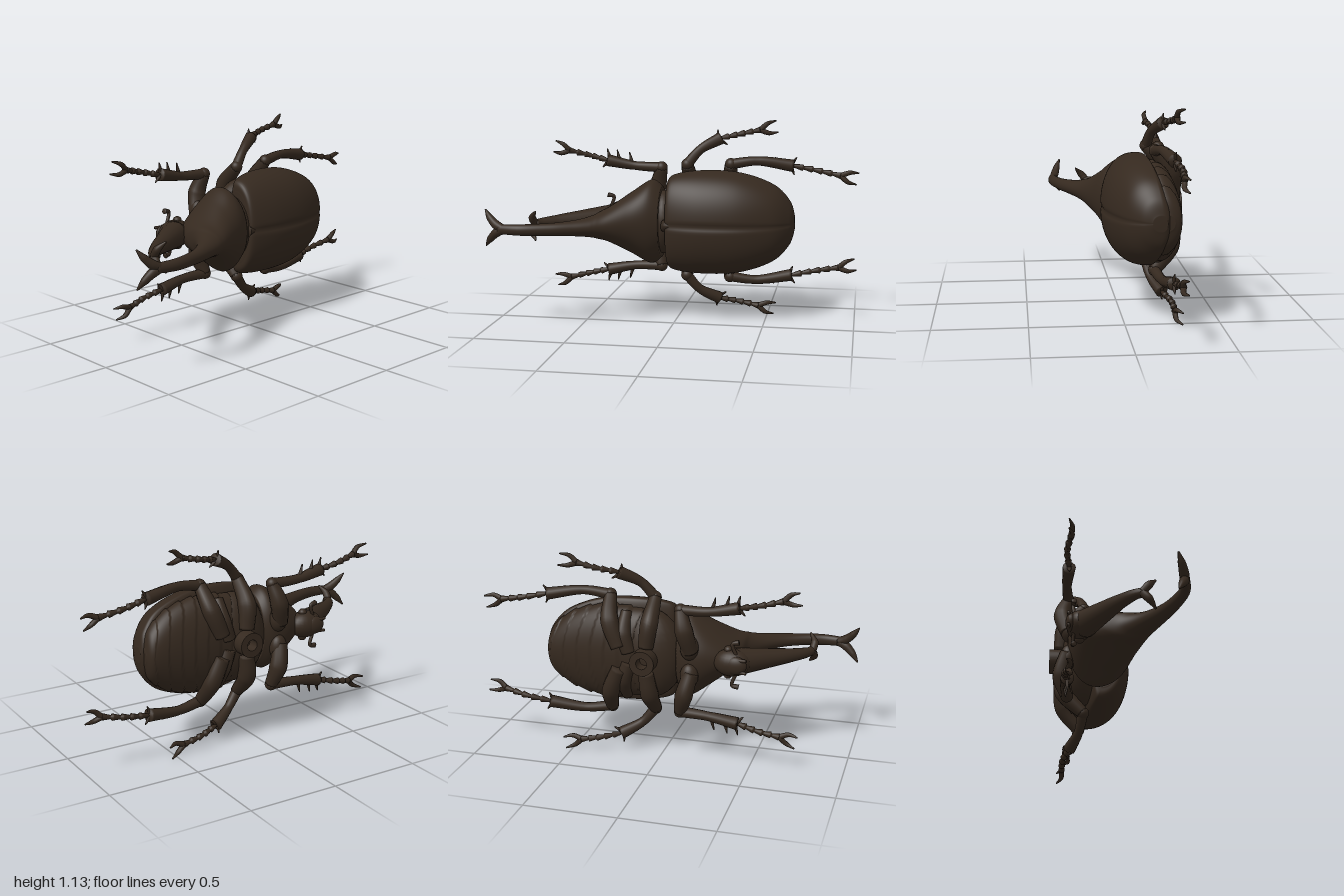
import * as THREE from 'three';

const shell = new THREE.MeshStandardMaterial({ color: 0x35291f, side: THREE.DoubleSide });
const V = (x, y, z) => new THREE.Vector3(x, y, z);

function mesh(name, geometry) {
  const m = new THREE.Mesh(geometry, shell);
  m.name = name;
  return m;
}

// Skin a list of closed rings, closing both ends to their centres
function skin(rings) {
  const close = r => {
    const c = r.reduce((a, p) => a.add(p), V(0, 0, 0)).divideScalar(r.length);
    return r.map(() => c);
  };
  const all = [close(rings[0]), ...rings, close(rings[rings.length - 1])];
  const n = rings[0].length, index = [];
  for (let i = 0; i < all.length - 1; i++) {
    for (let j = 0; j < n; j++) {
      const a = i * n + j, b = i * n + (j + 1) % n;
      index.push(a, b, a + n, b, b + n, a + n);
    }
  }
  const g = new THREE.BufferGeometry().setFromPoints(all.flat());
  g.setIndex(index);
  g.computeVertexNormals();
  return g;
}

// Body along x. Stations: [x, half width, top z, widest z, bottom z]; power below 1 squares the section
function body(name, stations, { steps = 60, sides = 64, power = 1, adjust = () => 0 } = {}) {
  const curves = [1, 2, 3, 4].map(k =>
    new THREE.SplineCurve(stations.map(s => new THREE.Vector2(s[0], s[k]))));
  const bend = v => Math.sign(v) * Math.abs(v) ** power;
  const rings = [];
  for (let i = 0; i <= steps; i++) {
    const [w, top, mid, low] = curves.map(c => c.getPoint(i / steps));
    const ring = [];
    for (let j = 0; j < sides; j++) {
      const a = j / sides * Math.PI * 2, s = bend(Math.sin(a)), k = 1 + adjust(a, w.x);
      const h = s > 0 ? top.y - mid.y : mid.y - low.y;
      ring.push(V(w.x, w.y * bend(Math.cos(a)) * k, mid.y + h * s * k));
    }
    rings.push(ring);
  }
  return mesh(name, skin(rings));
}

// Tapering limb through points; radii is a list or a function of 0..1
function limb(name, points, radii, steps = 24, sides = 12) {
  const curve = new THREE.CatmullRomCurve3(points);
  const { normals, binormals } = curve.computeFrenetFrames(steps);
  const radius = u => {
    if (typeof radii === 'function') return radii(u);
    const f = curve.getUtoTmapping(u) * (radii.length - 1);
    const i = Math.min(Math.floor(f), radii.length - 2);
    return THREE.MathUtils.lerp(radii[i], radii[i + 1], f - i);
  };
  const rings = [];
  for (let i = 0; i <= steps; i++) {
    const p = curve.getPointAt(i / steps), r = radius(i / steps), ring = [];
    for (let j = 0; j < sides; j++) {
      const a = j / sides * Math.PI * 2;
      ring.push(p.clone().addScaledVector(normals[i], r * Math.cos(a)).addScaledVector(binormals[i], r * Math.sin(a)));
    }
    rings.push(ring);
  }
  return mesh(name, skin(rings));
}

function ball(name, x, y, z, sx, sy, sz) {
  const m = mesh(name, new THREE.SphereGeometry(1, 24, 16));
  m.position.set(x, y, z);
  m.scale.set(sx, sy, sz);
  return m;
}

// Mirrored pair of legs: hip, thigh, knee, shin, ankle, toe end; spikes sit along the tibia
function legPair(name, hip, thigh, knee, shin, ankle, toe, spikes) {
  const pair = new THREE.Group();
  pair.name = name + 's';
  const across = d => V(-d.y, d.x, 0).multiplyScalar(Math.sign(d.x)).normalize();
  for (const s of [1, -1]) {
    const g = new THREE.Group();
    g.name = name;
    const part = (n, points, ...rest) => g.add(limb(n, points.map(p => V(p.x, p.y * s, p.z)), ...rest));
    part('femur', [hip, thigh, knee], [0.042, 0.05, 0.034]);
    g.add(ball('kneeJoint', knee.x, knee.y * s, knee.z, 0.034, 0.034, 0.034));
    part('tibia', [knee, shin, ankle], [0.03, 0.025, 0.035]);
    // Five beaded joints, each widening outward
    const sag = ankle.clone().lerp(toe, 0.5).add(V(0, 0, -0.015));
    part('tarsus', [ankle, sag, toe], u => 0.009 + 0.01 * ((u * 4.99) % 1), 40, 10);
    const ahead = toe.clone().sub(ankle).normalize(), side = across(ahead);
    for (const k of [1, -1]) {
      const at = (d, w, z) => toe.clone().addScaledVector(ahead, d).addScaledVector(side, w * k).add(V(0, 0, z));
      part('claw', [toe, at(0.045, 0.027, 0.006), at(0.095, 0.033, -0.012)], [0.016, 0.013, 0.004], 10, 8);
    }
    const run = ankle.clone().sub(shin).normalize(), out = across(run);
    for (const [t, length] of spikes) {
      const base = shin.clone().lerp(ankle, t);
      const tip = base.clone().addScaledVector(run, 0.03).addScaledVector(out, length);
      part('spike', [base, tip], [0.018, 0.003], 5, 8);
    }
    pair.add(g);
  }
  return pair;
}

export function createModel() {
  const beetle = new THREE.Group();
  beetle.name = 'beetle';
  beetle.position.y = 0.565;

  // Wing cases with the seam down the middle
  beetle.add(body('wingCases', [
    [-0.045, 0.2, 0.035, -0.06, -0.09], [-0.02, 0.265, 0.072, -0.085, -0.12], [0.15, 0.292, 0.098, -0.12, -0.165],
    [0.36, 0.28, 0.082, -0.135, -0.18], [0.54, 0.216, 0.02, -0.15, -0.2], [0.63, 0.125, -0.062, -0.165, -0.215],
    [0.658, 0.04, -0.125, -0.17, -0.2],
  ], { sides: 160, power: 0.9, adjust: a => -0.045 * Math.exp(-(((a - Math.PI / 2) / 0.035) ** 2)) }));
  beetle.add(limb('scutellum', [V(-0.05, 0, 0.045), V(0.005, 0, 0.062)], [0.034, 0.004], 6, 16));

  // Abdomen with overlapping belly plates
  beetle.add(body('abdomen', [
    [0.06, 0.24, -0.1, -0.15, -0.265], [0.28, 0.274, -0.1, -0.165, -0.292], [0.48, 0.234, -0.1, -0.18, -0.292],
    [0.61, 0.14, -0.13, -0.195, -0.28], [0.645, 0.04, -0.18, -0.21, -0.24],
  ], { steps: 90, adjust: (a, x) => -0.045 * (((x + 0.05 * Math.cos(a) ** 2) * 13 + 10) % 1) }));
  beetle.add(ball('breastPlate', 0.08, 0, -0.16, 0.19, 0.25, 0.125));
  beetle.add(ball('waist', -0.065, 0, -0.09, 0.09, 0.18, 0.14));

  // Round mounting socket under the belly
  const ringShape = new THREE.Shape().absarc(0, 0, 0.068, 0, Math.PI * 2);
  ringShape.holes.push(new THREE.Path().absarc(0, 0, 0.03, 0, Math.PI * 2, true));
  const socket = mesh('socket', new THREE.ExtrudeGeometry(ringShape, { depth: 0.1, bevelEnabled: false, curveSegments: 32 }));
  socket.position.set(0.075, 0, -0.35);
  beetle.add(socket);

  // Thorax shield sweeping into the large horn
  beetle.add(body('thoraxHorn', [
    [-0.91, 0.026, 0.33, 0.308, 0.287], [-0.78, 0.031, 0.345, 0.316, 0.29], [-0.62, 0.035, 0.306, 0.27, 0.225],
    [-0.5, 0.045, 0.26, 0.2, 0.13], [-0.43, 0.06, 0.23, 0.13, 0.03], [-0.4, 0.075, 0.215, 0.08, -0.08],
    [-0.35, 0.1, 0.19, 0.02, -0.18], [-0.24, 0.175, 0.14, -0.06, -0.24], [-0.14, 0.237, 0.1, -0.09, -0.25],
    [-0.08, 0.2, 0.07, -0.09, -0.23],
  ]));

  // Head and its shorter hooked horn
  beetle.add(ball('head', -0.38, 0, -0.19, 0.1, 0.075, 0.07));
  beetle.add(ball('mouth', -0.41, 0, -0.235, 0.06, 0.05, 0.03));
  beetle.add(limb('headHorn', [V(-0.4, 0, -0.17), V(-0.54, 0, -0.075), V(-0.67, 0, 0.015), V(-0.745, 0, 0.085), V(-0.762, 0, 0.125)],
    [0.075, 0.055, 0.036, 0.026, 0.024], 36, 16));

  for (const s of [1, -1]) {
    beetle.add(limb('hornFork', [V(-0.88, 0, 0.31), V(-0.925, 0.022 * s, 0.3), V(-0.965, 0.06 * s, 0.285), V(-0.995, 0.1 * s, 0.268)],
      [0.024, 0.025, 0.019, 0.004]));
    beetle.add(limb('headHornFork', [V(-0.762, 0, 0.11), V(-0.768, 0.04 * s, 0.145), V(-0.74, 0.08 * s, 0.18)],
      [0.022, 0.021, 0.005]));
    beetle.add(ball('eye', -0.36, 0.07 * s, -0.19, 0.024, 0.022, 0.024));
    beetle.add(limb('antenna', [V(-0.41, 0.05 * s, -0.22), V(-0.39, 0.115 * s, -0.225), V(-0.425, 0.125 * s, -0.22)],
      [0.009, 0.01, 0.015]));
    beetle.add(limb('mouthFeeler', [V(-0.41, 0.03 * s, -0.24), V(-0.47, 0.035 * s, -0.25)], [0.014, 0.008], 8));
    // Hip plates lying across the belly
    beetle.add(limb('hindHip', [V(0.17, 0.03 * s, -0.265), V(0.2, 0.13 * s, -0.26), V(0.2, 0.24 * s, -0.2)], [0.04, 0.042, 0.03]));
    beetle.add(ball('frontHip', -0.16, 0.08 * s, -0.245, 0.05, 0.07, 0.045));
  }

  beetle.add(legPair('frontLeg', V(-0.17, 0.06, -0.25), V(-0.14, 0.18, -0.28), V(-0.113, 0.287, -0.25),
    V(-0.27, 0.293, -0.26), V(-0.43, 0.322, -0.25), V(-0.655, 0.375, -0.245), [[0.1, 0.07], [0.55, 0.07], [0.9, 0.065], [0.95, -0.045]]));
  beetle.add(legPair('middleLeg', V(0.07, 0.07, -0.285), V(0.055, 0.2, -0.265), V(0.05, 0.318, -0.16),
    V(0.12, 0.4, -0.18), V(0.23, 0.462, -0.23), V(0.45, 0.508, -0.27), [[0.85, 0.05], [0.9, -0.05]]));
  beetle.add(legPair('hindLeg', V(0.22, 0.06, -0.285), V(0.275, 0.2, -0.265), V(0.295, 0.322, -0.18),
    V(0.44, 0.34, -0.2), V(0.64, 0.313, -0.235), V(0.905, 0.262, -0.24), [[0.35, 0.035], [0.92, 0.05], [0.92, -0.05]]));
  return beetle;
}
